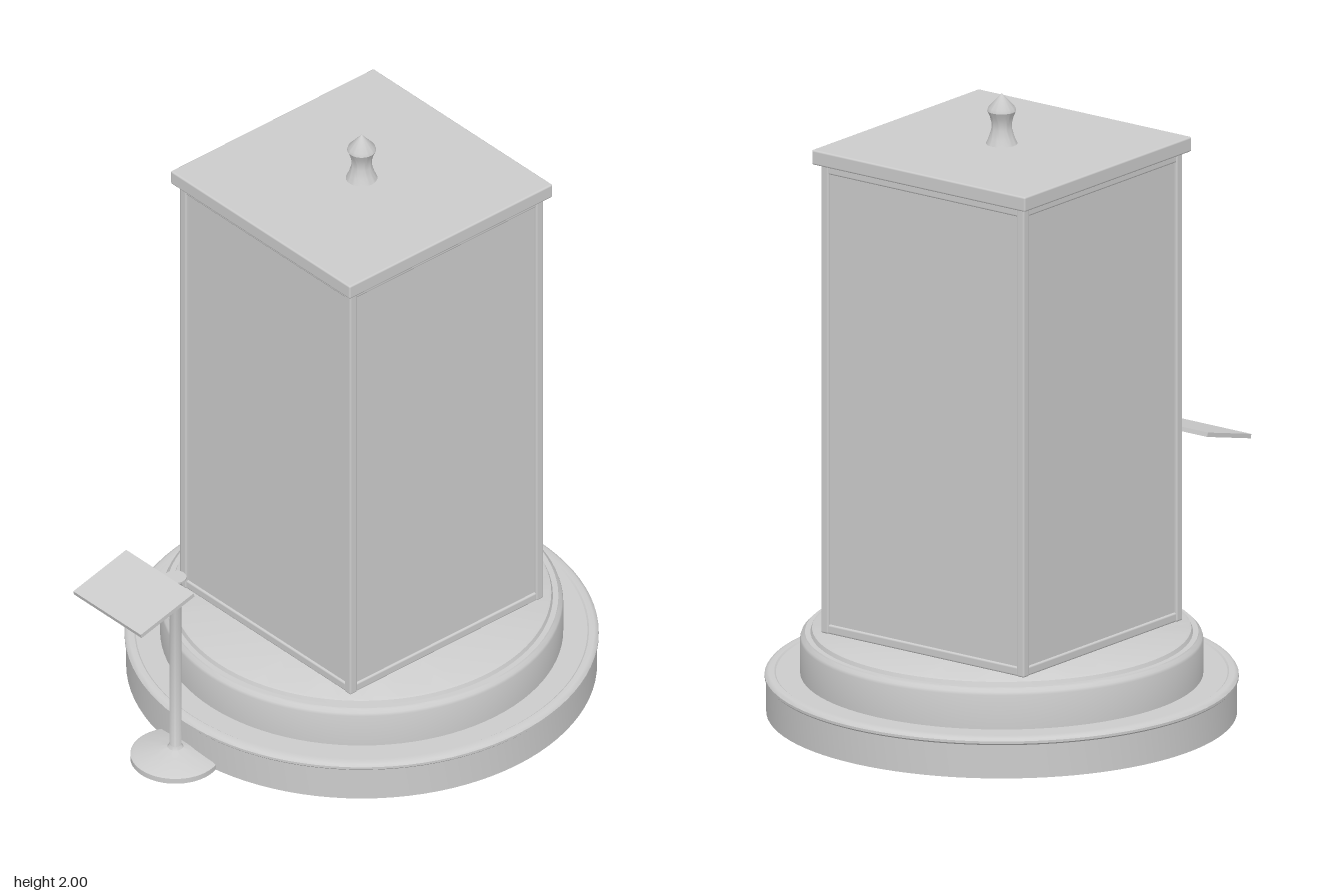
import * as THREE from 'three';
import { RoundedBoxGeometry } from 'three/addons/geometries/RoundedBoxGeometry.js';
import { toCreasedNormals } from 'three/addons/utils/BufferGeometryUtils.js';

export function createModel() {
  const model = new THREE.Group();
  const grey = new THREE.MeshStandardMaterial({ color: 0xcccccc });
  grey.name = 'light grey';

  const add = (parent, name, geometry, x = 0, y = 0, z = 0) => {
    const mesh = new THREE.Mesh(geometry, grey);
    mesh.name = name;
    mesh.position.set(x, y, z);
    parent.add(mesh);
    return mesh;
  };
  // Turned part from [radius, height] pairs, bottom to top
  const turned = (points, segments = 96) => toCreasedNormals(
    new THREE.LatheGeometry(points.map(([r, y]) => new THREE.Vector2(r, y)), segments), 0.6);

  const monument = new THREE.Group();
  monument.name = 'monument';
  monument.position.z = -0.16;
  model.add(monument);

  // Two round steps with moulded rims
  add(monument, 'lowerStep', turned([[0, 0], [0.73, 0], [0.73, 0.108], [0.735, 0.113],
    [0.735, 0.121], [0.73, 0.128], [0.722, 0.131], [0.705, 0.131], [0.7, 0.127], [0, 0.127]]));
  add(monument, 'upperStep', turned([[0, 0.12], [0.625, 0.12], [0.625, 0.237], [0.622, 0.246],
    [0.613, 0.253], [0.61, 0.258], [0.593, 0.258], [0.588, 0.27], [0.58, 0.274], [0, 0.274]]));

  // Tall cabinet: flush panels inside a slim frame
  const bottom = 0.274, top = 1.79, half = 0.4, bar = 0.03;
  const height = top - bottom, middle = (top + bottom) / 2;
  add(monument, 'cabinetPanels', new THREE.BoxGeometry(0.78, height, 0.78), 0, middle, 0);
  const post = new RoundedBoxGeometry(bar, height, bar, 2, 0.006);
  for (const x of [-1, 1]) for (const z of [-1, 1])
    add(monument, 'cornerPost', post, x * (half - bar / 2), middle, z * (half - bar / 2));
  const rail = new RoundedBoxGeometry(2 * (half - bar) + 0.01, bar, bar, 2, 0.006);
  for (let side = 0; side < 4; side++) {
    const angle = side * Math.PI / 2, d = half - bar / 2 - 0.003;
    for (const y of [bottom + bar / 2, top - bar / 2])
      add(monument, 'frameRail', rail, Math.sin(angle) * d, y, Math.cos(angle) * d).rotation.y = angle;
  }

  // Overhanging roof slab and finial
  add(monument, 'roof', new RoundedBoxGeometry(0.84, 0.048, 0.84, 2, 0.006), 0, 1.813, 0);
  add(monument, 'finial', turned([[0, 1.835], [0.05, 1.835], [0.04, 1.858], [0.032, 1.885],
    [0.032, 1.905], [0.037, 1.925], [0.045, 1.943], [0.042, 1.953], [0, 2]], 40));

  // Reading stand
  const stand = new THREE.Group();
  stand.name = 'readingStand';
  model.add(stand);
  add(stand, 'standPost', turned([[0, 0], [0.14, 0], [0.14, 0.018], [0.13, 0.023], [0.06, 0.036],
    [0.025, 0.045], [0.019, 0.055], [0.018, 0.655], [0.024, 0.668], [0.034, 0.678],
    [0.034, 0.685], [0, 0.685]], 48), 0, 0, 0.61);
  add(stand, 'readingBoard', new THREE.BoxGeometry(0.316, 0.014, 0.226), 0, 0.699, 0.782)
    .rotation.x = 0.25;

  return model;
}
